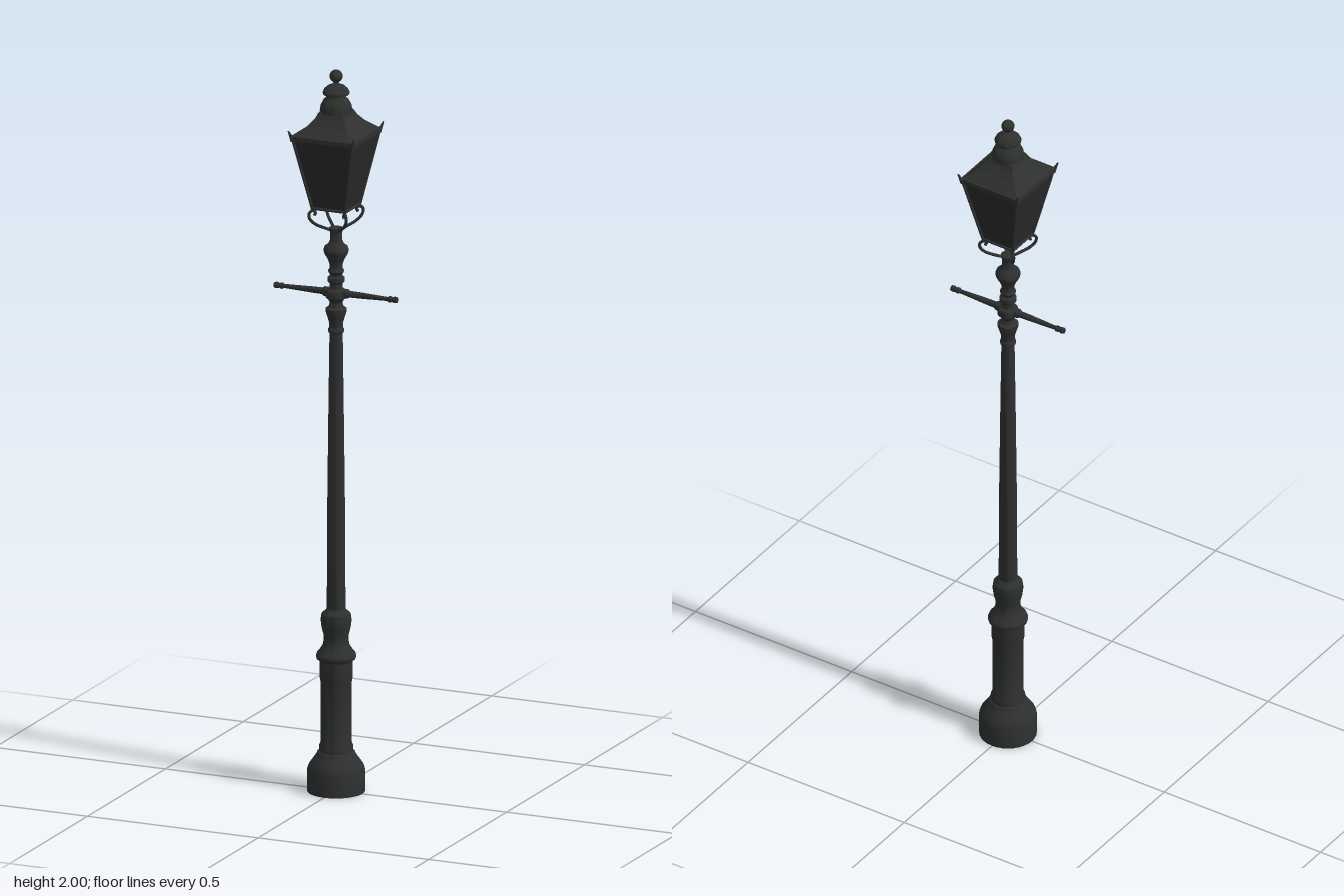
import * as THREE from 'three';
import { toCreasedNormals } from 'three/addons/utils/BufferGeometryUtils.js';

export function createModel() {
  const iron = new THREE.MeshStandardMaterial({ color: 0x2e3030 });
  iron.name = 'cast iron';
  const glass = new THREE.MeshStandardMaterial({ color: 0x2a2a2a, side: THREE.DoubleSide });
  glass.name = 'dark glass';

  const root = new THREE.Group();
  root.name = 'streetLamp';

  const add = (name, geometry, material = iron, parent = root) => {
    const mesh = new THREE.Mesh(geometry, material);
    mesh.name = name;
    parent.add(mesh);
    return mesh;
  };
  const vec = (p) => new THREE.Vector2(p[0], p[1]);
  // Round turned part from [radius, height] pairs
  const turned = (pts, sides = 32) =>
    toCreasedNormals(new THREE.LatheGeometry(pts.map(vec), sides), 0.6);
  // Square part from [half width, height] pairs
  const square = (pts) => {
    const g = new THREE.LatheGeometry(pts.map(([r, y]) => new THREE.Vector2(r * Math.SQRT2, y)), 4, Math.PI / 4);
    return toCreasedNormals(g, 0.1);
  };
  // Round bar between two points
  const bar = (name, a, b, r0, r1, parent) => {
    const from = new THREE.Vector3(...a), to = new THREE.Vector3(...b);
    const dir = to.clone().sub(from);
    const mesh = add(name, new THREE.CylinderGeometry(r1, r0, dir.length(), 8), iron, parent);
    mesh.position.copy(from).add(to).multiplyScalar(0.5);
    mesh.quaternion.setFromUnitVectors(new THREE.Vector3(0, 1, 0), dir.normalize());
  };

  // Pedestal
  add('base', turned([
    [0, 0], [0.077, 0], [0.077, 0.062], [0.073, 0.074], [0.06, 0.092], [0.053, 0.102],
    [0.05, 0.11], [0.046, 0.112], [0.046, 0.125], [0.042, 0.135], [0.041, 0.3],
    [0.044, 0.315], [0.044, 0.362], [0.047, 0.366],
  ]));
  add('baseCollar', turned([
    [0.044, 0.362], [0.052, 0.368], [0.054, 0.376], [0.051, 0.384], [0.044, 0.392],
    [0.036, 0.405], [0.033, 0.42], [0.034, 0.435], [0.039, 0.455], [0.0415, 0.475],
    [0.039, 0.492], [0.03, 0.5], [0.025, 0.506],
  ]));

  // Tapering shaft
  add('shaft', turned([[0.025, 0.5], [0.0235, 0.8], [0.0205, 1.06], [0.0175, 1.28]]));

  // Turned mouldings at the head of the post
  add('postHead', turned([
    [0.0175, 1.27], [0.021, 1.274], [0.021, 1.282], [0.018, 1.287], [0.019, 1.3],
    [0.024, 1.318], [0.028, 1.33], [0.028, 1.338], [0.02, 1.344], [0.017, 1.355],
    [0.02, 1.362], [0.028, 1.37], [0.029, 1.38], [0.026, 1.389], [0.018, 1.395],
    [0.017, 1.408], [0.023, 1.414], [0.023, 1.424], [0.016, 1.43], [0.018, 1.436],
    [0.022, 1.442], [0.018, 1.45], [0.017, 1.46], [0.022, 1.475], [0.031, 1.49],
    [0.034, 1.501], [0.031, 1.51], [0.021, 1.518], [0.0165, 1.528], [0.0165, 1.552],
    [0.019, 1.555], [0.019, 1.562], [0, 1.565],
  ]));

  // Ladder rest, one arm each side
  const arm = turned([
    [0.013, 0.02], [0.013, 0.034], [0.009, 0.04], [0.0085, 0.07], [0.0055, 0.152],
    [0.0085, 0.156], [0.0085, 0.162], [0.0055, 0.165], [0.008, 0.169], [0.009, 0.174],
    [0.0075, 0.18], [0, 0.183],
  ], 16);
  for (const s of [-1, 1]) {
    const mesh = add(s > 0 ? 'leftLadderArm' : 'rightLadderArm', arm);
    mesh.position.y = 1.382;
    mesh.rotation.z = -s * Math.PI / 2;
  }

  // Lantern body
  const lantern = new THREE.Group();
  lantern.name = 'lantern';
  root.add(lantern);
  add('lanternPanes', square([[0.047, 1.625], [0.086, 1.822]]), glass, lantern);
  add('lanternFloor', new THREE.BoxGeometry(0.094, 0.005, 0.094), glass, lantern).position.y = 1.627;

  // Four identical sides: frame bars, rim, corner horn and scrolled bracket
  const bracketPath = new THREE.CatmullRomCurve3([
    [0.008, 1.556], [0.024, 1.565], [0.042, 1.578], [0.053, 1.594],
    [0.054, 1.609], [0.047, 1.616], [0.041, 1.609], [0.044, 1.602],
  ].map(([d, y]) => new THREE.Vector3(d, y, d)));
  const bracket = new THREE.TubeGeometry(bracketPath, 36, 0.0042, 8);
  for (let i = 0; i < 4; i++) {
    const side = new THREE.Group();
    side.name = 'lanternSide' + (i + 1);
    side.rotation.y = i * Math.PI / 2;
    lantern.add(side);
    bar('cornerBar', [0.048, 1.622, 0.048], [0.088, 1.822, 0.088], 0.004, 0.004, side);
    bar('bottomRail', [-0.048, 1.622, 0.048], [0.048, 1.622, 0.048], 0.004, 0.004, side);
    const rim = add('topRail', new THREE.BoxGeometry(0.184, 0.012, 0.008), iron, side);
    rim.position.set(0, 1.822, 0.088);
    bar('cornerHorn', [0.087, 1.816, 0.087], [0.096, 1.843, 0.096], 0.007, 0.002, side);
    add('bracket', bracket, iron, side);
  }

  // Hipped roof
  add('roof', square([[0.09, 1.826], [0.058, 1.852], [0.042, 1.872], [0.034, 1.888], [0, 1.888]]), iron, lantern);

  // Two-tier vent and ball finial
  add('ventCap', turned([
    [0.03, 1.88], [0.043, 1.884], [0.0435, 1.89], [0.041, 1.903], [0.034, 1.917],
    [0.027, 1.923], [0.025, 1.93], [0.035, 1.933], [0.036, 1.938], [0.032, 1.947],
    [0.022, 1.956], [0.011, 1.96], [0.007, 1.964], [0.007, 1.972],
  ]), iron, lantern);
  add('finial', new THREE.SphereGeometry(0.0175, 24, 16), iron, lantern).position.y = 1.9825;

  return root;
}
